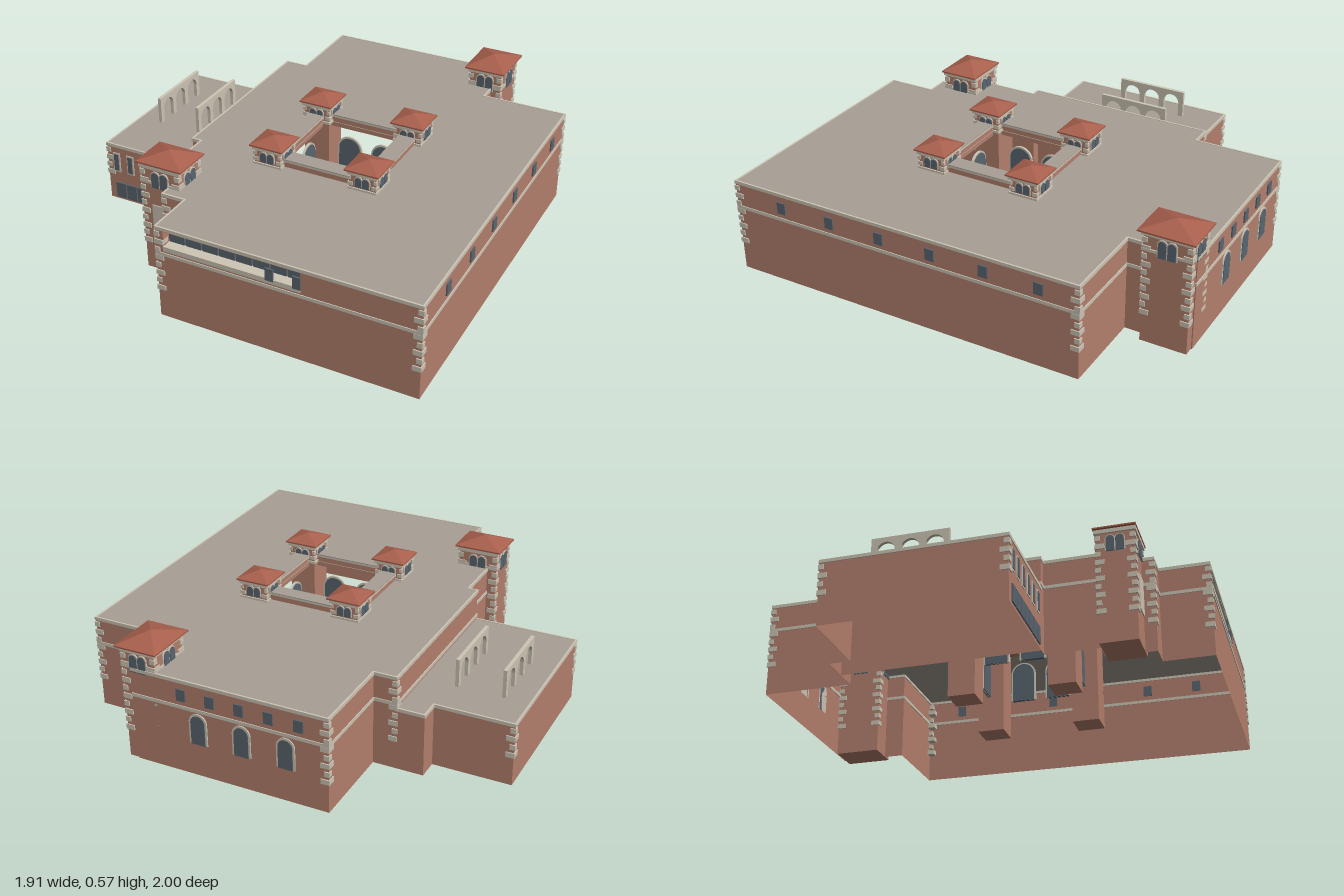
import * as THREE from 'three';

const mat = (name, color, side = THREE.FrontSide) => {
  const m = new THREE.MeshStandardMaterial({ color, side });
  m.name = name;
  return m;
};

export function createModel() {
  const brick = mat('brick', 0xb5806e, THREE.DoubleSide);
  const stone = mat('stone', 0xcec6b5);
  const roofGrey = mat('roofGrey', 0xa8a096, THREE.DoubleSide);
  const glass = mat('glass', 0x5a6670);
  const tile = mat('tile', 0xa9604d);
  const model = new THREE.Group();
  model.name = 'courtyardBuilding';

  const add = (name, geo, m, x, y, z, ry = 0, parent = model) => {
    const mesh = new THREE.Mesh(geo, m);
    mesh.name = name;
    mesh.position.set(x, y, z);
    mesh.rotation.y = ry;
    parent.add(mesh);
    return mesh;
  };
  // Box given by its limits
  const block = (name, m, x0, x1, y0, y1, z0, z1) =>
    add(name, new THREE.BoxGeometry(x1 - x0, y1 - y0, z1 - z0), m, (x0 + x1) / 2, (y0 + y1) / 2, (z0 + z1) / 2);
  // Upright wall sheet between two plan points
  const wall = (name, p, q, y0, y1) => {
    const dx = q[0] - p[0], dz = q[1] - p[1];
    add(name, new THREE.PlaneGeometry(Math.hypot(dx, dz), y1 - y0), brick,
      (p[0] + q[0]) / 2, (y0 + y1) / 2, (p[1] + q[1]) / 2, Math.atan2(dz, -dx));
  };
  // Thin stone course running along a wall
  const course = (name, p, q, y0, y1, t = 0.008) => {
    const dx = q[0] - p[0], dz = q[1] - p[1];
    add(name, new THREE.BoxGeometry(Math.hypot(dx, dz) + t, y1 - y0, t), stone,
      (p[0] + q[0]) / 2, (y0 + y1) / 2, (p[1] + q[1]) / 2, Math.atan2(-dz, dx));
  };
  const flatRoof = (name, pts, y, hole) => {
    const s = new THREE.Shape(pts.map(p => new THREE.Vector2(...p)));
    if (hole) s.holes.push(new THREE.Path(hole.map(p => new THREE.Vector2(...p))));
    const g = new THREE.ShapeGeometry(s);
    g.rotateX(Math.PI / 2);
    add(name, g, roofGrey, 0, y, 0);
  };
  // Alternating corner stones; sx, sz point inward
  const quoins = (x, z, sx, sz, y0, y1, k = 1) => {
    const n = Math.round((y1 - y0) / (0.038 * k)), step = (y1 - y0) / n;
    for (let i = 0; i < n; i++) {
      const s = (i % 2 ? 0.024 : 0.04) * k, o = s / 2 - 0.005;
      add('cornerStone', new THREE.BoxGeometry(s, step * 0.6, s), stone, x + sx * o, y0 + (i + 0.5) * step, z + sz * o);
    }
  };
  const archPath = (P, w, h, x = 0) => {
    const s = new P();
    s.moveTo(x - w / 2, 0);
    s.lineTo(x + w / 2, 0);
    s.lineTo(x + w / 2, h - w / 2);
    s.absarc(x, h - w / 2, w / 2, 0, Math.PI, false);
    s.lineTo(x - w / 2, 0);
    return s;
  };
  // Round-headed window with a stone surround, facing the direction ry
  const archWindow = (x, y, z, ry, w, h, frame = w * 0.14) => {
    const g = new THREE.Group();
    g.name = 'archWindow';
    g.position.set(x, y, z);
    g.rotation.y = ry;
    const ext = (s, depth) => new THREE.ExtrudeGeometry(s, { depth, bevelEnabled: false, curveSegments: 6 });
    add('surround', ext(archPath(THREE.Shape, w + 2 * frame, h + frame), 0.005), stone, 0, 0, 0, 0, g);
    add('pane', ext(archPath(THREE.Shape, w, h), 0.008), glass, 0, 0, 0, 0, g);
    model.add(g);
  };

  // Main block
  const Y = 0.435;
  const main = [[-0.37, -0.985], [0.535, -0.985], [0.535, -0.68], [0.935, -0.677], [0.947, 0.993], [-0.225, 0.993],
    [-0.225, 0.77], [-0.335, 0.77], [-0.335, 0.55], [-0.43, 0.55], [-0.43, 0.31], [-0.475, 0.31], [-0.475, -0.58], [-0.37, -0.58]];
  flatRoof('mainRoof', main, Y + 0.003, [[-0.02, -0.12], [0.36, -0.12], [0.36, 0.27], [-0.02, 0.27]]);
  main.forEach((p, i) => {
    const q = main[(i + 1) % main.length];
    if (i !== 4) wall('mainWall', p, q, 0, Y);
    course('coping', p, q, Y - 0.01, Y + 0.005);
    course('stringCourse', p, q, 0.305, 0.32);
  });
  for (const [x, z, sx, sz] of [[-0.37, -0.985, 1, 1], [0.935, -0.677, -1, 1], [0.947, 0.993, -1, -1],
    [-0.225, 0.993, 1, -1], [-0.335, 0.77, 1, -1], [-0.475, -0.58, 1, 1]]) quoins(x, z, sx, sz, 0.125, 0.425);

  // Front wall with recessed window strip
  const F = 0.993, B = 0.945, a = -0.19, b = 0.435, s0 = 0.35, s1 = 0.42;
  wall('frontWall', [0.947, F], [b, F], 0, Y);
  wall('frontWall', [a, F], [-0.225, F], 0, Y);
  wall('frontWall', [b, F], [a, F], 0, s0);
  wall('frontWall', [b, F], [a, F], s1, Y);
  wall('recessBack', [b, B], [a, B], s0, s1);
  wall('recessSide', [b, F], [b, B], s0, s1);
  wall('recessSide', [a, B], [a, F], s0, s1);
  block('recessFloor', stone, a, b, s0 - 0.008, s0, B, F);
  block('recessCeiling', stone, a, b, s1, s1 + 0.006, B, F);
  block('sill', stone, a, b, 0.33, 0.352, F - 0.004, F + 0.005);
  for (let i = 0; i < 8; i++) {
    const x = a + (b - a) * i / 8;
    block('stripPane', glass, x + 0.003, x + 0.075, s0 + 0.003, s1, B, B + 0.008);
  }
  for (const x of [0.3, 0.42]) block('frontWindow', glass, x - 0.018, x + 0.018, 0.343, 0.4, F, F + 0.007);

  // Windows on the right and back walls
  for (let i = 0; i < 6; i++) {
    const z = 0.75 - i * 0.25, x = 0.941 + z * 0.007;
    block('sideWindow', glass, x - 0.003, x + 0.005, 0.342, 0.396, z - 0.021, z + 0.021);
  }
  for (let i = 0; i < 5; i++) {
    const x = 0.3 - i * 0.135;
    block('backWindow', glass, x - 0.021, x + 0.021, 0.342, 0.396, -0.991, -0.984);
  }
  for (const x of [-0.18, 0.022, 0.225]) archWindow(x, 0.155, -0.985, Math.PI, 0.066, 0.135);

  // Low wing
  const L = 0.29;
  const wing = [[-0.955, -0.485], [-0.6, -0.485], [-0.6, -0.58], [-0.475, -0.58], [-0.475, 0.31], [-0.955, 0.31]];
  flatRoof('wingRoof', wing, L + 0.003);
  wing.forEach((p, i) => {
    if (i === 3) return;
    const q = wing[(i + 1) % wing.length];
    wall('wingWall', p, q, 0, L);
    course('wingCoping', p, q, L - 0.01, L + 0.005);
  });
  quoins(-0.955, 0.31, 1, -1, 0.125, 0.28);
  quoins(-0.955, -0.485, 1, 1, 0.125, 0.28);
  for (let i = 0; i < 6; i++) {
    const x = -0.906 + i * 0.0755;
    block('wingWindowFrame', stone, x - 0.019, x + 0.019, 0.15, 0.25, 0.308, 0.314);
    block('wingWindow', glass, x - 0.012, x + 0.012, 0.158, 0.243, 0.31, 0.317);
  }
  for (let i = 0; i < 7; i++) {
    const x = -0.92 + i * 0.0595;
    block('shopPane', glass, x + 0.002, x + 0.056, 0.012, 0.09, 0.309, 0.316);
  }

  // Free-standing arcades on the low roof
  for (const x of [-0.84, -0.63]) {
    const s = new THREE.Shape([[-0.17, 0], [0.17, 0], [0.17, 0.132], [-0.17, 0.132]].map(p => new THREE.Vector2(...p)));
    for (const c of [-0.106, 0, 0.106]) {
      const h = new THREE.Path();
      h.moveTo(c - 0.04, 0.001);
      h.lineTo(c + 0.04, 0.001);
      h.lineTo(c + 0.04, 0.07);
      h.absarc(c, 0.07, 0.04, 0, Math.PI, false);
      s.holes.push(h);
    }
    const g = new THREE.ExtrudeGeometry(s, { depth: 0.016, bevelEnabled: false, curveSegments: 6 });
    add('arcade', g, stone, x - 0.008, L, -0.14, Math.PI / 2);
  }

  // Towers with tiled pyramid roofs
  const tower = (name, cx, cz, hx, hz, top, rx, rz, peak, winY, winH, winW, k, q0) => {
    block(name, brick, cx - hx, cx + hx, 0, top, cz - hz, cz + hz);
    for (const [y0, y1, o] of [[Y, Y + 0.012, 0.006], [top - 0.018, top, 0.008]])
      block(name + 'Cornice', stone, cx - hx - o, cx + hx + o, y0, y1, cz - hz - o, cz + hz + o);
    block(name + 'Eaves', tile, cx - rx, cx + rx, top, top + 0.007, cz - rz, cz + rz);
    let g = new THREE.ConeGeometry(Math.SQRT2, peak - top - 0.007, 4, 1, true);
    g.rotateY(Math.PI / 4);
    g.scale(rx, 1, rz);
    g = g.toNonIndexed();
    g.computeVertexNormals();
    add(name + 'Roof', g, tile, cx, (peak + top + 0.007) / 2, cz);
    for (const sx of [-1, 1]) for (const sz of [-1, 1]) quoins(cx + sx * hx, cz + sz * hz, -sx, -sz, q0, top - 0.02, k);
    for (let i = 0; i < 4; i++) for (const u of [-0.58, 0.58]) {
      const r = i * Math.PI / 2, c = Math.round(Math.cos(r)), s = Math.round(Math.sin(r));
      archWindow(cx + s * hx + c * u * winW, winY, cz + c * hz - s * u * winW, r, winW, winH);
    }
  };
  tower('frontTower', -0.38, 0.635, 0.093, 0.083, 0.525, 0.113, 0.094, 0.57, 0.42, 0.073, 0.036, 1, 0.125);
  tower('backTower', 0.503, -0.875, 0.078, 0.105, 0.525, 0.1, 0.125, 0.57, 0.42, 0.078, 0.036, 1, 0.125);
  block('towerPanel', stone, -0.425, -0.337, 0.16, 0.33, 0.717, 0.723);

  // Courtyard: corner towers, parapets and hanging arched windows
  const xs = [-0.057, 0.397], zs = [-0.155, 0.307];
  for (const x of xs) for (const z of zs)
    tower('courtTower', x, z, 0.063, 0.063, 0.525, 0.08, 0.08, 0.561, 0.455, 0.045, 0.03, 0.6, 0.45);
  const parapet = (x0, x1, z0, z1) => {
    block('parapet', brick, x0, x1, Y - 0.02, 0.463, z0, z1);
    block('parapetBand', stone, x0 - 0.004, x1 + 0.004, 0.463, 0.472, z0 - 0.004, z1 + 0.004);
    block('parapetCap', roofGrey, x0 - 0.004, x1 + 0.004, 0.472, 0.476, z0 - 0.004, z1 + 0.004);
  };
  parapet(0.006, 0.334, -0.186, -0.124);
  parapet(0.006, 0.334, 0.274, 0.341);
  parapet(-0.091, -0.024, -0.092, 0.244);
  parapet(0.364, 0.431, -0.092, 0.244);
  for (const u of [-0.085, 0.085]) for (const f of [0, Math.PI]) {
    archWindow(0.17 + u, 0.16, zs[0], f, 0.105, 0.19, 0.008);
    archWindow(0.17 + u, 0.16, zs[1], f, 0.105, 0.19, 0.008);
    archWindow(xs[0], 0.16, 0.076 + u, f + Math.PI / 2, 0.105, 0.19, 0.008);
    archWindow(xs[1], 0.16, 0.076 + u, f + Math.PI / 2, 0.105, 0.19, 0.008);
  }
  return model;
}
